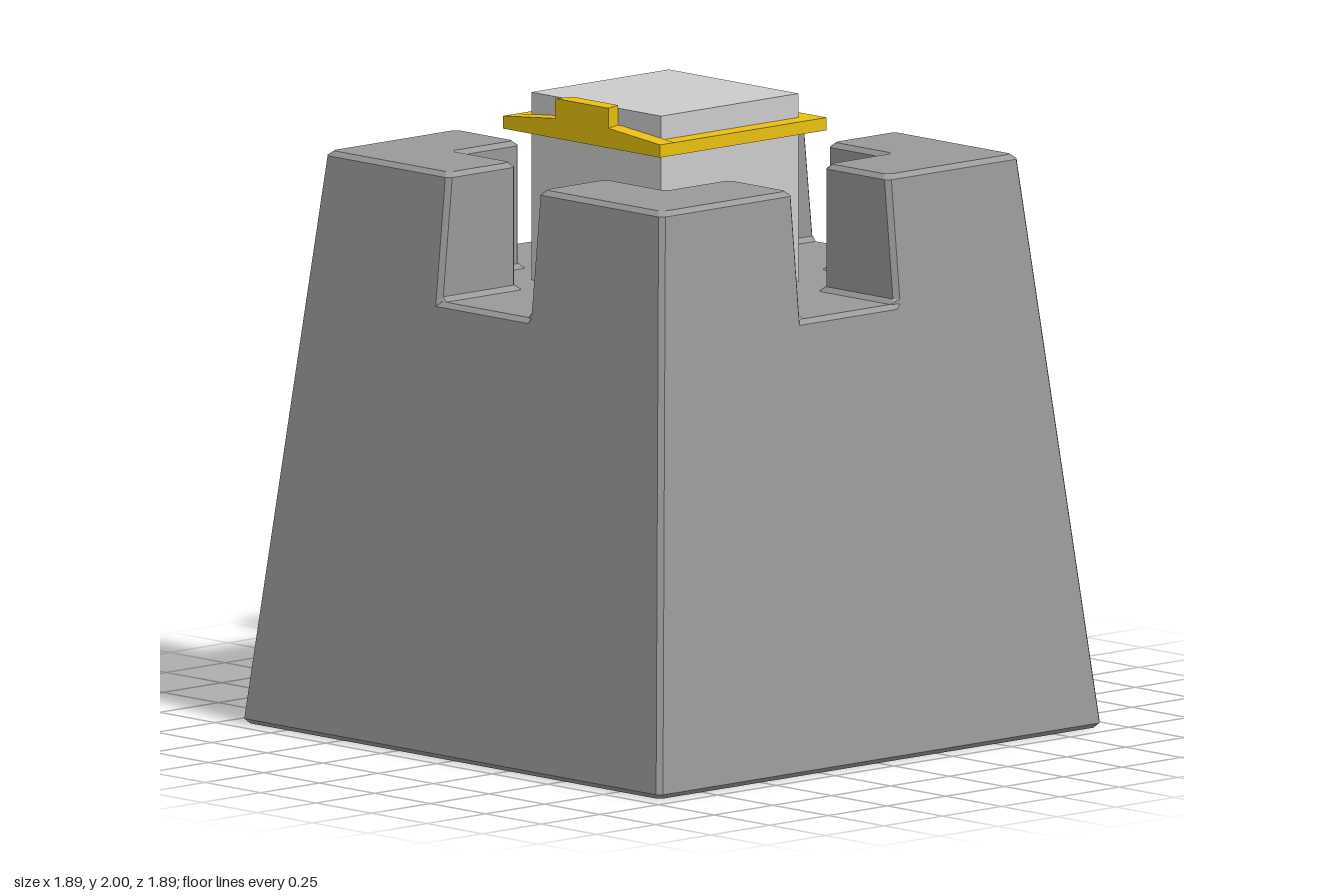
import * as THREE from 'three';

const C = 0.015; // chamfer width
const NOTCH = 0.2, PIT = 0.47, FLOOR = 1.4, TOP = 1.8;
const outer = (y) => 0.945 - 0.103 * y; // half width of the tapering walls

// Joins equal-length loops of [x, y, z] (counter-clockwise from above) and caps both ends.
function loft(rings) {
  const pos = [];
  const tri = (a, b, c) => pos.push(...a, ...b, ...c);
  for (let k = 0; k < rings.length - 1; k++) {
    const lo = rings[k], hi = rings[k + 1];
    lo.forEach((a, i) => {
      const j = (i + 1) % lo.length;
      tri(a, lo[j], hi[j]);
      tri(a, hi[j], hi[i]);
    });
  }
  const cap = (ring, up) => {
    const flat = ring.map(([x, , z]) => new THREE.Vector2(x, -z));
    for (const [a, b, c] of THREE.ShapeUtils.triangulateShape(flat, [])) {
      if (up) tri(ring[a], ring[b], ring[c]);
      else tri(ring[a], ring[c], ring[b]);
    }
  };
  cap(rings[0], false);
  cap(rings[rings.length - 1], true);
  const geo = new THREE.BufferGeometry();
  geo.setAttribute('position', new THREE.Float32BufferAttribute(pos, 3));
  geo.computeVertexNormals();
  return geo;
}

// Square loop with cut corners; lip pulls the notch edge inward on each side.
function bodyRing(y, o, lip) {
  const side = [
    [-(o - C), o], [-(NOTCH + C), o], [-NOTCH, o - lip],
    [NOTCH, o - lip], [NOTCH + C, o], [o - C, o],
  ];
  const ring = [];
  for (let q = 0; q < 4; q++) {
    for (const [x, z] of side) {
      let p = [x, z];
      for (let r = 0; r < q; r++) p = [p[1], -p[0]];
      ring.push([p[0], y, p[1]]);
    }
  }
  return ring;
}

// L-shaped loop of one corner block; d moves the inner walls outward.
function cornerRing(y, o, d) {
  const n = NOTCH + d, p = PIT + d, e = NOTCH + Math.max(d, 0) + C;
  return [
    [n, o - C], [e, o], [o - C, o], [o, o - C], [o, e], [o - C, n],
    [p + C, n], [p, n + C], [p, p - C], [p - C, p], [n + C, p], [n, p + C],
  ].map(([x, z]) => [x, y, z]);
}

export function createModel() {
  const model = new THREE.Group();
  const material = (color) => new THREE.MeshStandardMaterial({ color, flatShading: true });
  const stone = material(0x999999), grey = material(0xcccccc), gold = material(0xe8c010);
  const add = (name, geo, mat, parent = model) => {
    const mesh = new THREE.Mesh(geo, mat);
    mesh.name = name;
    parent.add(mesh);
    return mesh;
  };

  // Tapered base up to the pit floor
  add('base', loft([
    bodyRing(0, outer(0) - C, 0),
    bodyRing(C, outer(C), 0),
    bodyRing(FLOOR - C, outer(FLOOR - C), 0),
    bodyRing(FLOOR, outer(FLOOR), C),
  ]), stone);

  // Four corner blocks around the pit and notches
  const cornerGeo = loft([
    cornerRing(FLOOR, outer(FLOOR), -C),
    cornerRing(FLOOR + C, outer(FLOOR + C), 0),
    cornerRing(TOP - C, outer(TOP - C), 0),
    cornerRing(TOP, outer(TOP) - C, C),
  ]);
  const corners = new THREE.Group();
  corners.name = 'cornerBlocks';
  for (let i = 0; i < 4; i++) {
    add('cornerBlock', cornerGeo, stone, corners).rotation.y = i * Math.PI / 2;
  }
  model.add(corners);

  // Central post, set slightly forward
  const zMid = 0.03;
  const post = new THREE.BoxGeometry(0.585, 1.99 - FLOOR, 0.585);
  post.translate(0, (1.99 + FLOOR) / 2, zMid);
  add('post', post, grey);

  // Band around the post
  const square = (Type, h) => new Type(
    [[-h, -h], [h, -h], [h, h], [-h, h]].map(([x, y]) => new THREE.Vector2(x, y)));
  const bandShape = square(THREE.Shape, 0.354);
  bandShape.holes.push(square(THREE.Path, 0.29));
  const band = new THREE.ExtrudeGeometry(bandShape, { depth: 0.04, bevelEnabled: false });
  band.rotateX(-Math.PI / 2).translate(0, 1.875, zMid);
  add('band', band, gold);

  // Sloping ridge and raised tab on the front of the band
  const front = zMid + 0.354, back = front - 0.06;
  const ridgeShape = new THREE.Shape(
    [[-0.354, 1.915], [0.354, 1.915], [0.12, 1.937], [-0.12, 1.937]]
      .map(([x, y]) => new THREE.Vector2(x, y)));
  const ridge = new THREE.ExtrudeGeometry(ridgeShape, { depth: front - back, bevelEnabled: false });
  ridge.translate(0, 0, back);
  add('frontRidge', ridge, gold);
  const tabRing = (y) => [[-0.12, y, front], [0.12, y, front], [0.1, y, back], [-0.1, y, back]];
  add('frontTab', loft([tabRing(1.93), tabRing(2)]), gold);

  return model;
}
